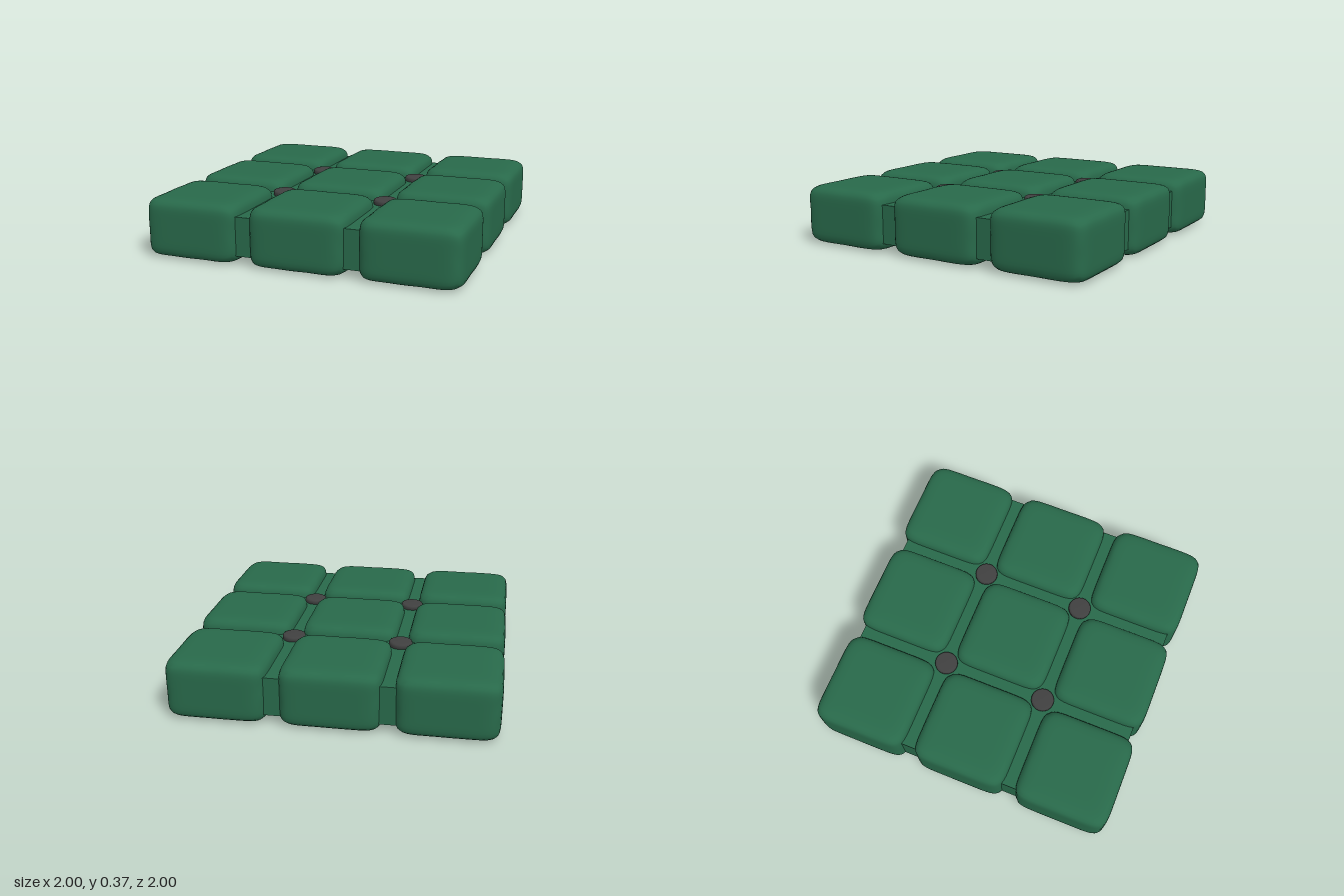
import * as THREE from 'three';
import { mergeVertices } from 'three/addons/utils/BufferGeometryUtils.js';

const green = new THREE.MeshStandardMaterial({ color: 0x28694a });
const dark = new THREE.MeshStandardMaterial({ color: 0x404040 });

// Plump square cushion: a subdivided cube pulled onto a superellipsoid, lightly rumpled
function cushionGeometry(hx, hy, hz, power = 8) {
  let geo = new THREE.BoxGeometry(2, 2, 2, 24, 16, 24);
  geo.deleteAttribute('uv');
  geo.deleteAttribute('normal');
  geo = mergeVertices(geo);
  const pos = geo.attributes.position;
  const v = new THREE.Vector3();
  for (let i = 0; i < pos.count; i++) {
    v.fromBufferAttribute(pos, i);
    const sum = Math.abs(v.x) ** power + Math.abs(v.y) ** power + Math.abs(v.z) ** power;
    v.multiplyScalar(sum ** (-1 / power));
    // Soft wrinkles, strongest along the seams
    const edge = Math.max(0, sum - 1);
    const wrinkle = 1 - 0.006 * edge * (1 + Math.sin(9 * v.x + 4 * v.y) * Math.cos(8 * v.z - 3 * v.y));
    v.multiplyScalar(wrinkle);
    pos.setXYZ(i, v.x * hx, v.y * hy, v.z * hz);
  }
  geo.computeVertexNormals();
  return geo;
}

function add(parent, name, geometry, material, x, y, z) {
  const mesh = new THREE.Mesh(geometry, material);
  mesh.name = name;
  mesh.position.set(x, y, z);
  parent.add(mesh);
}

export function createModel() {
  const model = new THREE.Group();
  model.name = 'tuftedCushion';

  // Flat core joining the cushions
  add(model, 'core', new THREE.BoxGeometry(1.9, 0.245, 1.9), green, 0, 0.178, 0);

  // Three by three grid of pads
  const pads = new THREE.Group();
  pads.name = 'pads';
  const padGeo = cushionGeometry(0.309, 0.187, 0.309);
  for (const i of [-1, 0, 1])
    for (const j of [-1, 0, 1]) add(pads, 'pad', padGeo, green, i * 0.691, 0.187, j * 0.691);
  model.add(pads);

  // Buttons where the seams cross
  const buttons = new THREE.Group();
  buttons.name = 'buttons';
  const profile = [[0, 0.034], [0.062, 0.033], [0.071, 0.028], [0.074, 0.018], [0.074, -0.01], [0, -0.01]]
    .map(([r, y]) => new THREE.Vector2(r, y)).reverse();
  const buttonGeo = new THREE.LatheGeometry(profile, 32);
  for (const x of [-0.346, 0.346])
    for (const z of [-0.34, 0.34]) add(buttons, 'button', buttonGeo, dark, x, 0.299, z);
  model.add(buttons);

  return model;
}
